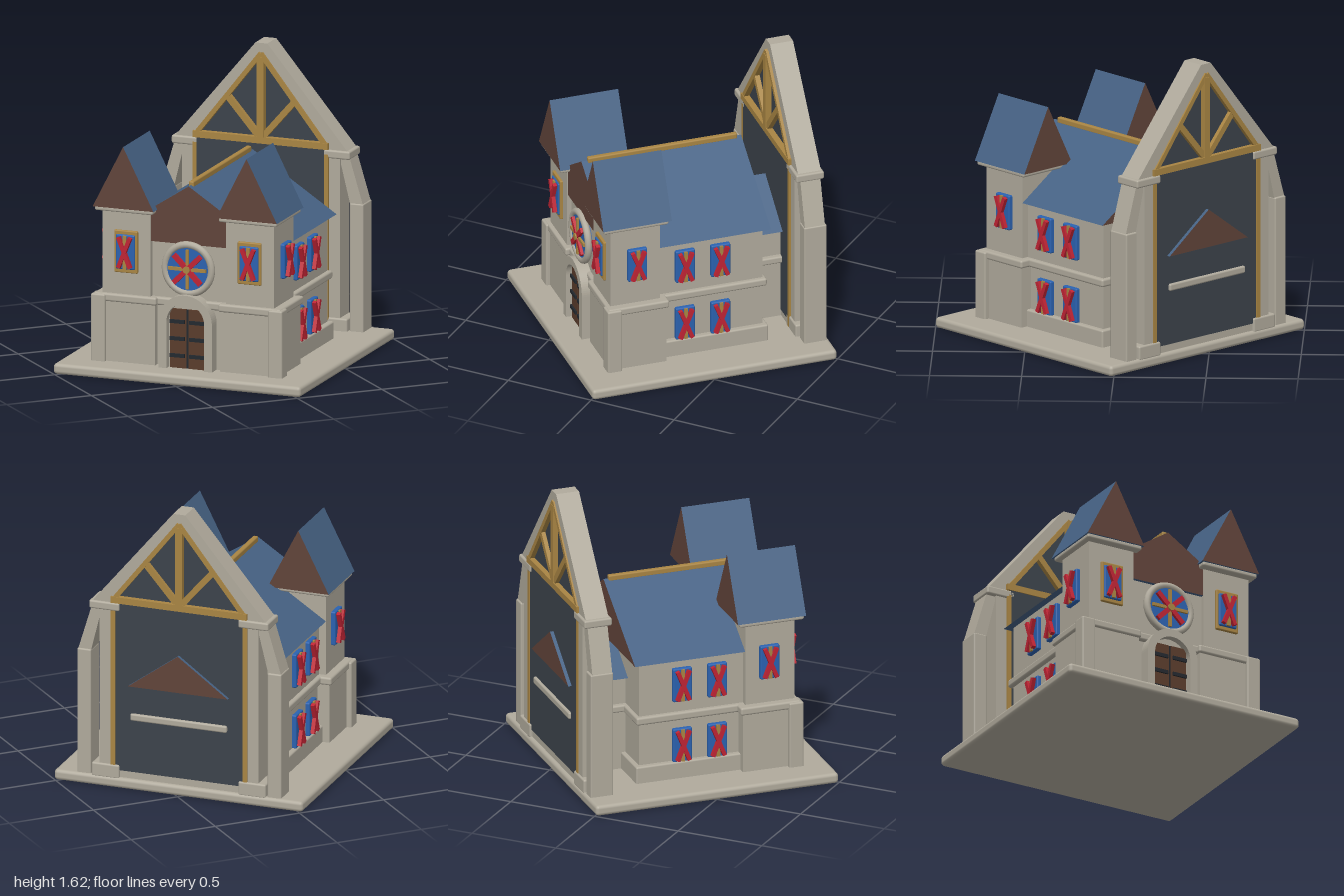
import * as THREE from 'three';
import { RoundedBoxGeometry } from 'three/addons/geometries/RoundedBoxGeometry.js';

export function createModel() {
  const mat = (name, color) => {
    const m = new THREE.MeshStandardMaterial({ color });
    m.name = name;
    return m;
  };
  const stone = mat('stone', 0xb0aa9c), slate = mat('blueSlate', 0x466284), brown = mat('brownBoard', 0x61443a),
    door = mat('doorWood', 0x5a3c2b), gold = mat('goldTimber', 0xa98543), dark = mat('darkWall', 0x3c434b),
    blue = mat('windowBlue', 0x2b62b0), red = mat('redBars', 0xc02434), iron = mat('iron', 0x23282e);

  // The house is laid out square (facade towards +z), then turned 45 degrees
  const model = new THREE.Group();
  const house = new THREE.Group();
  house.name = 'house';
  house.rotation.y = -Math.PI / 4;
  model.add(house);

  const add = (name, geo, material, parent = house) => {
    const m = new THREE.Mesh(geo, material);
    m.name = name;
    parent.add(m);
    return m;
  };
  // Box from its limits; r rounds the edges; x limits may be given mirrored
  const box = (name, material, x0, x1, y0, y1, z0, z1, r = 0, parent = house) => {
    const s = [Math.abs(x1 - x0), y1 - y0, z1 - z0];
    const geo = r ? new RoundedBoxGeometry(...s, 2, r) : new THREE.BoxGeometry(...s);
    const m = add(name, geo, material, parent);
    m.position.set((x0 + x1) / 2, (y0 + y1) / 2, (z0 + z1) / 2);
    return m;
  };
  // Outline in x, y extruded from z0 to z1
  const prism = (name, material, pts, z0, z1) => {
    const shape = new THREE.Shape(pts.map(p => new THREE.Vector2(...p)));
    const m = add(name, new THREE.ExtrudeGeometry(shape, { depth: z1 - z0, bevelEnabled: false }), material);
    m.position.z = z0;
    return m;
  };
  // Gabled roof: brown ends, slate slopes
  const roof = (name, cx, half, y0, y1, z0, z1) =>
    prism(name, [brown, slate], [[cx - half, y0], [cx + half, y0], [cx, y1]], z0, z1);
  // Straight timber between two points in x, y
  const beam = (name, material, a, b, w, z0, z1, parent = house) => {
    const dx = b[0] - a[0], dy = b[1] - a[1];
    const m = add(name, new THREE.BoxGeometry(Math.hypot(dx, dy), w, z1 - z0), material, parent);
    m.position.set((a[0] + b[0]) / 2, (a[1] + b[1]) / 2, (z0 + z1) / 2);
    m.rotation.z = Math.atan2(dy, dx);
    return m;
  };
  // Window with crossed red bars, built facing +z
  const windowAt = (x, y, z, turn, framed) => {
    const g = new THREE.Group();
    g.name = 'window';
    g.position.set(x, y, z);
    g.rotation.y = turn;
    if (framed) box('windowFrame', gold, -0.068, 0.068, -0.118, 0.118, -0.01, 0.015, 0.006, g);
    box('windowPane', blue, -0.055, 0.055, -0.097, 0.097, -0.01, 0.024, 0.008, g);
    box('windowMullion', gold, -0.01, 0.01, -0.092, 0.092, 0.02, 0.034, 0, g);
    for (const s of [-1, 1]) beam('windowBar', red, [-0.034 * s, -0.085], [0.034 * s, 0.085], 0.022, 0.022, 0.046, g);
    house.add(g);
  };

  // Base slab
  box('base', stone, -0.721, 0.721, 0, 0.06, -0.701, 0.701, 0.02);

  // Main house
  box('mainWalls', stone, -0.46, 0.46, 0.05, 0.75, -0.36, 0.5);
  box('mainPlinth', stone, -0.49, 0.49, 0.05, 0.155, -0.385, 0.3, 0.01);
  box('mainBand', stone, -0.485, 0.485, 0.395, 0.44, -0.38, 0.525, 0.012);
  roof('mainRoof', 0, 0.5, 0.75, 1.075, -0.396, 0.52);
  box('ridgeBeam', gold, -0.015, 0.015, 1.06, 1.095, -0.37, 0.485, 0.008);

  // Towers, side windows and corner posts
  for (const s of [-1, 1]) {
    box('towerBase', stone, s * 0.19, s * 0.53, 0.05, 0.42, 0.215, 0.535);
    box('towerBand', stone, s * 0.18, s * 0.545, 0.395, 0.44, 0.2, 0.548, 0.012);
    box('cornerPost', stone, s * 0.475, s * 0.558, 0.05, 0.435, 0.475, 0.558, 0.01);
    box('towerBody', stone, s * 0.22, s * 0.5, 0.42, 0.92, 0.24, 0.525);
    box('towerCap', stone, s * 0.192, s * 0.53, 0.905, 0.932, 0.2, 0.57, 0.01);
    roof('towerRoof', s * 0.36, 0.177, 0.928, 1.275, 0.185, 0.578);
    windowAt(s * 0.36, 0.68, 0.525, 0, true);
    windowAt(s * 0.5, 0.68, 0.375, s * Math.PI / 2, false);
    for (const z of [0.088, -0.115])
      for (const y of [0.6, 0.248]) windowAt(s * 0.46, y, z, s * Math.PI / 2, false);
  }

  // Arched doorway
  const arch = new THREE.Shape();
  arch.moveTo(-0.155, 0.05).lineTo(-0.155, 0.32).absarc(0, 0.32, 0.155, Math.PI, 0, true)
    .lineTo(0.155, 0.05).lineTo(0.11, 0.05).lineTo(0.11, 0.32).absarc(0, 0.32, 0.11, 0, Math.PI, false).lineTo(-0.11, 0.05);
  add('doorArch', new THREE.ExtrudeGeometry(arch, { depth: 0.08, bevelEnabled: false, curveSegments: 20 }), stone).position.z = 0.49;
  const back = new THREE.Shape();
  back.moveTo(-0.115, 0.05).lineTo(0.115, 0.05).lineTo(0.115, 0.32).absarc(0, 0.32, 0.115, 0, Math.PI, false);
  add('doorTympanum', new THREE.ExtrudeGeometry(back, { depth: 0.035, bevelEnabled: false, curveSegments: 20 }), stone).position.z = 0.495;
  for (const s of [-1, 1]) {
    box('doorLeaf', door, s * 0.006, s * 0.1, 0.06, 0.39, 0.525, 0.54);
    for (const y of [0.13, 0.225, 0.32]) box('doorStrap', iron, s * 0.015, s * 0.1, y - 0.01, y + 0.01, 0.538, 0.55);
  }
  box('doorGap', iron, -0.006, 0.006, 0.06, 0.39, 0.525, 0.535);

  // Round window with eight spokes
  const rose = new THREE.Group();
  rose.name = 'roseWindow';
  rose.position.set(0, 0.615, 0.5);
  house.add(rose);
  add('roseRing', new THREE.TorusGeometry(0.135, 0.02, 10, 40), stone, rose).position.z = 0.025;
  const pane = add('rosePane', new THREE.CylinderGeometry(0.13, 0.13, 0.04, 40), blue, rose);
  pane.rotation.x = Math.PI / 2;
  pane.position.z = 0.015;
  for (let i = 0; i < 4; i++) {
    const a = i * Math.PI / 4, p = [0.11 * Math.cos(a), 0.11 * Math.sin(a)], odd = i % 2;
    beam('roseSpoke', odd ? red : gold, [-p[0], -p[1]], p, odd ? 0.028 : 0.018, 0.03, odd ? 0.052 : 0.047, rose);
  }
  const boss = add('roseBoss', new THREE.CylinderGeometry(0.02, 0.02, 0.03, 16), gold, rose);
  boss.rotation.x = Math.PI / 2;
  boss.position.z = 0.045;

  // Low rear wing passing through the back wall
  box('wingWalls', stone, -0.25, 0.25, 0.05, 0.6, -0.6, -0.34);
  box('wingBand', stone, -0.28, 0.28, 0.4, 0.44, -0.7, -0.34, 0.01);
  roof('wingRoof', 0, 0.29, 0.6, 0.81, -0.705, -0.34);

  // Tall back wall with gable
  box('backWall', dark, -0.372, 0.372, 0.1, 1.07, -0.685, -0.535);
  box('backWallFoot', stone, -0.37, 0.37, 0.05, 0.1, -0.68, -0.54);
  prism('gablePanel', dark, [[-0.41, 1.06], [0.41, 1.06], [0, 1.585]], -0.665, -0.565);
  prism('gableRake', stone, [[-0.505, 1.06], [-0.4, 1.06], [0, 1.575], [0.4, 1.06], [0.505, 1.06], [0.035, 1.625], [-0.035, 1.625]], -0.682, -0.55);
  for (const [z0, z1] of [[-0.695, -0.66], [-0.57, -0.53]]) {
    beam('trussTie', gold, [-0.395, 1.085], [0.395, 1.085], 0.036, z0, z1);
    beam('trussPost', gold, [0, 1.08], [0, 1.55], 0.04, z0, z1);
    for (const s of [-1, 1]) {
      beam('trussRafter', gold, [s * 0.38, 1.085], [0, 1.568], 0.026, z0 + 0.004, z1 - 0.004);
      beam('trussBrace', gold, [0, 1.09], [s * 0.2, 1.32], 0.034, z0 + 0.006, z1 - 0.006);
    }
  }

  // Pillars and flying buttresses
  for (const s of [-1, 1]) {
    box('goldJamb', gold, s * 0.37, s * 0.396, 0.06, 1.04, -0.69, -0.535);
    box('pillar', stone, s * 0.394, s * 0.46, 0.05, 1.04, -0.685, -0.545);
    box('pillarBase', stone, s * 0.345, s * 0.505, 0.05, 0.13, -0.695, -0.535, 0.01);
    box('pillarCapital', stone, s * 0.345, s * 0.52, 1.02, 1.066, -0.695, -0.535, 0.01);
    box('buttressPost', stone, s * 0.512, s * 0.592, 0.05, 0.775, -0.685, -0.555, 0.008);
    const strut = [[0.45, 1.03], [0.515, 0.765], [0.59, 0.765], [0.51, 1.03]].map(([x, y]) => [s * x, y]);
    prism('buttressStrut', stone, strut, -0.675, -0.56);
  }
  return model;
}
